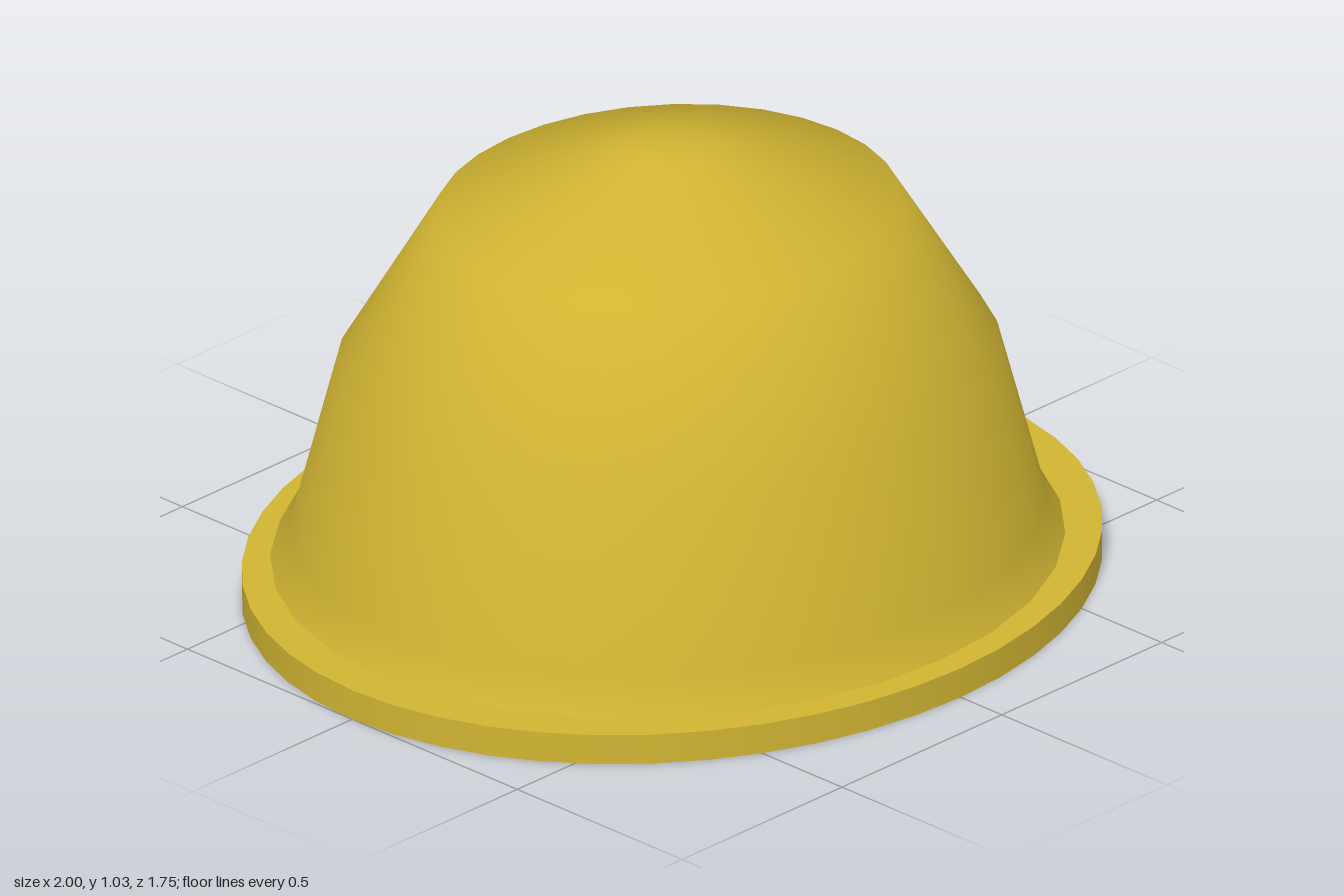
import * as THREE from 'three';

export function createModel() {
  const group = new THREE.Group();
  const gold = new THREE.MeshStandardMaterial({ color: 0xd0b432 });
  gold.name = 'gold';

  // Oval base plate
  const rimGeometry = new THREE.CylinderGeometry(1, 1, 0.07, 48);
  rimGeometry.scale(1, 1, 0.875).translate(0, 0.035, 0);
  const rim = new THREE.Mesh(rimGeometry, gold);
  rim.name = 'basePlate';
  group.add(rim);

  // Smooth-shaded dome, flared at the foot and nearly flat on top
  const profile = [
    [0.905, 0.07], [0.86, 0.15], [0.76, 0.52], [0.53, 0.888], [0.11, 1.035], [0, 1.035],
  ].map(([r, y]) => new THREE.Vector2(r, y));
  const domeGeometry = new THREE.LatheGeometry(profile, 32);
  domeGeometry.scale(1, 1, 0.915).translate(0, 0, -0.013);
  const dome = new THREE.Mesh(domeGeometry, gold);
  dome.name = 'dome';
  group.add(dome);

  return group;
}
